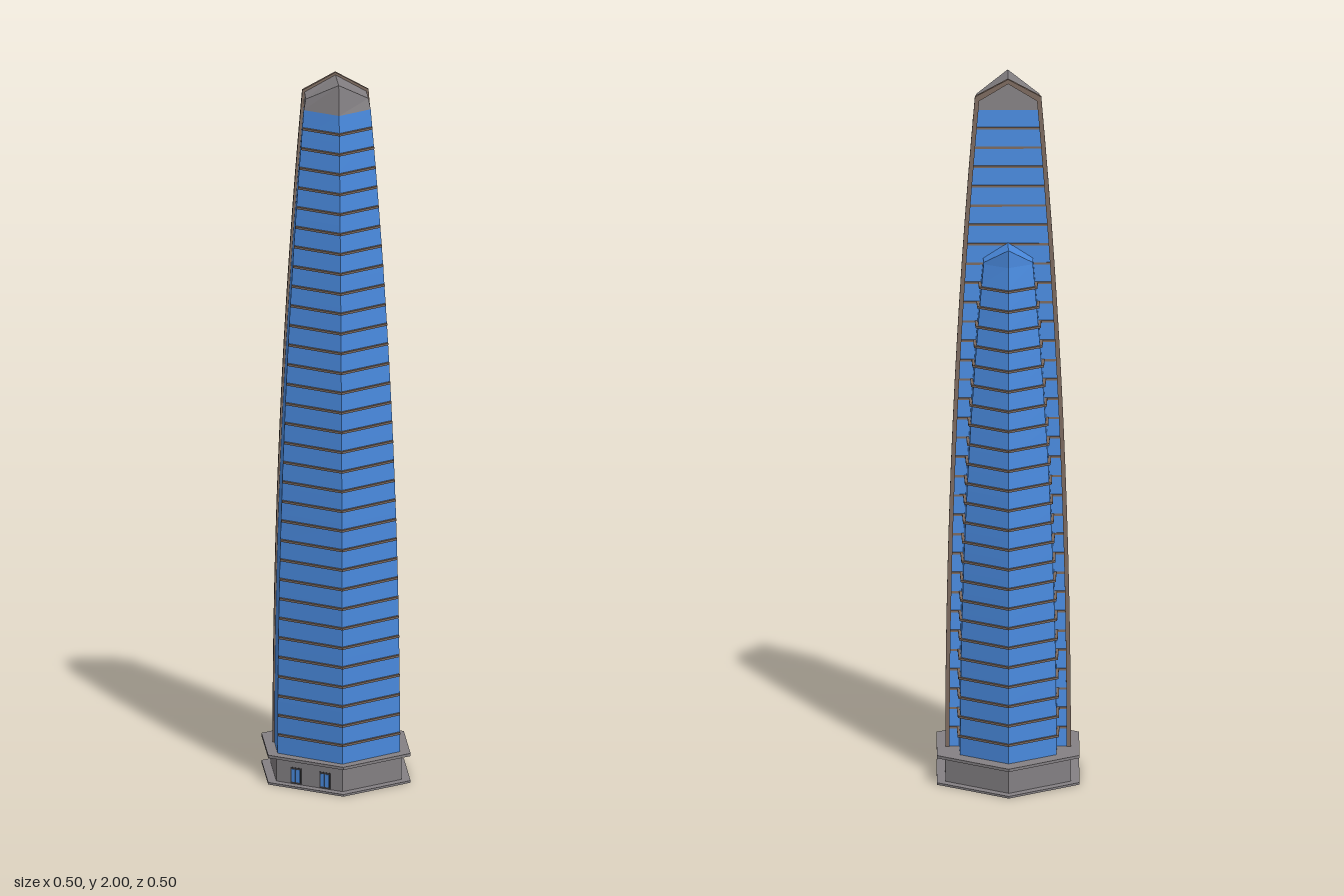
import * as THREE from 'three';
import { mergeGeometries } from 'three/addons/utils/BufferGeometryUtils.js';

const WALL = -0.03; // plane shared by the two tower halves
const DECK = 0.08;

function material(name, hex) {
  const m = new THREE.MeshStandardMaterial({ color: hex });
  m.name = name;
  return m;
}

// Joins rings of [x, y, z] corners; closes each end with a fan to a point
function loft(rings, top, bottom) {
  const out = [];
  const n = rings[0].length;
  const last = rings[rings.length - 1];
  for (let i = 0; i < n; i++) {
    const j = (i + 1) % n;
    for (let k = 0; k < rings.length - 1; k++) {
      const a = rings[k], b = rings[k + 1];
      out.push(...a[i], ...a[j], ...b[j], ...a[i], ...b[j], ...b[i]);
    }
    if (top) out.push(...last[i], ...last[j], ...top);
    if (bottom) out.push(...rings[0][j], ...rings[0][i], ...bottom);
  }
  const g = new THREE.BufferGeometry();
  g.setAttribute('position', new THREE.Float32BufferAttribute(out, 3));
  g.computeVertexNormals();
  return g;
}

const lift = (outline, y) => outline.map(([x, z]) => [x, y, z]);

// Flat-topped slab from a convex outline
function slab(outline, y0, y1) {
  const cz = outline.reduce((s, p) => s + p[1], 0) / outline.length;
  return loft([lift(outline, y0), lift(outline, y1)], [0, y1, cz], [0, y0, cz]);
}

// Outline of a tower half at height y, shrinking faster towards the top
function taper(low, high, y, topY) {
  const t = ((y - DECK) / (topY - DECK)) ** 2;
  return low.map((p, i) => p.map((v, k) => v + (high[i][k] - v) * t));
}

export function createModel() {
  const glass = material('blue glass', 0x4a8be0);
  const stone = material('grey stone', 0x858184);
  const trim = material('brown trim', 0x7b695e);
  const dark = material('dark frame', 0x3c3a3c);

  const model = new THREE.Group();
  model.name = 'skyscraper';
  const body = new THREE.Group();
  body.name = 'building';
  body.rotation.y = THREE.MathUtils.degToRad(43.3);
  model.add(body);
  const add = (name, geometry, mat, parent = body) => {
    const mesh = new THREE.Mesh(geometry, mat);
    mesh.name = name;
    parent.add(mesh);
    return mesh;
  };

  // Podium: two overhanging plates around an inset hexagonal block
  const hex = [[0.2, 0.152], [0.2, -0.152], [0, -0.331], [-0.2, -0.152], [-0.2, 0.152], [0, 0.331]];
  const inset = hex.map(([x, z]) => [x * 0.88, z * 0.88]);
  add('groundPlate', slab(hex, 0, 0.006), stone);
  add('podium', slab(inset, 0.006, 0.076), stone);
  add('deckPlate', slab(hex, 0.076, 0.084), stone);

  // Two doors on the front wall of the podium
  const [cx, cz] = inset[5], [dx, dz] = inset[4];
  const wallAngle = Math.atan2(-(cz - dz), cx - dx);
  for (const t of [0.3, 0.74]) {
    const door = new THREE.Group();
    door.name = 'door';
    door.position.set(dx + (cx - dx) * t, 0.03, dz + (cz - dz) * t);
    door.rotation.y = wallAngle;
    body.add(door);
    add('doorFrame', new THREE.BoxGeometry(0.038, 0.046, 0.004), dark, door);
    for (const s of [-1, 1]) {
      add('doorPane', new THREE.BoxGeometry(0.013, 0.036, 0.007), glass, door).position.x = s * 0.008;
    }
  }

  // Tall half
  const tallLow = [[0.171, WALL], [-0.171, WALL], [-0.172, 0.126], [0, 0.288], [0.172, 0.126]];
  const tallHigh = [[0.088, WALL], [-0.088, WALL], [-0.094, 0.056], [0, 0.142], [0.094, 0.056]];
  const tallTop = 1.91;
  // Short half
  const shortLow = [[0.137, WALL], [0.135, -0.143], [0, -0.262], [-0.135, -0.143], [-0.137, WALL]];
  const shortHigh = [[0.07, WALL], [0.069, -0.086], [0, -0.137], [-0.069, -0.086], [-0.07, WALL]];
  const shortTop = 1.48;

  const shaft = (low, high, topY) => {
    const rings = [];
    for (let i = 0; i <= 24; i++) {
      const y = DECK + (topY - DECK) * i / 24;
      rings.push(lift(taper(low, high, y, topY), y));
    }
    return loft(rings);
  };
  add('tallTower', shaft(tallLow, tallHigh, tallTop), glass);
  add('shortTower', shaft(shortLow, shortHigh, shortTop), glass);

  // Ridged roofs: the outer corner is as high as the inner ridge end
  const tallEaves = [[0.087, 1.945, WALL], [-0.087, 1.945, WALL], [-0.088, 1.94, 0.049],
    [0, 1.993, 0.122], [0.088, 1.94, 0.049]];
  add('tallRoof', loft([lift(tallHigh, tallTop), tallEaves], [0, 1.993, WALL]), stone);
  const shortEaves = shortHigh.map(([x, z], i) => [x, i === 2 ? 1.53 : 1.485, z]);
  add('shortRoof', loft([lift(shortHigh, shortTop), shortEaves], [0, 1.53, WALL]), glass);

  // Thin floor ledges: outer faces and rear wall of the tall half, all faces of the short half
  const ledges = [];
  const step = 0.0555;
  for (let y = 0.135; y < 1.88; y += step) {
    const o = taper(tallLow, tallHigh, y, tallTop).map(([x, z], i) =>
      i < 2 ? [x * 0.96, WALL - 0.004] : [x, z + 0.012]);
    ledges.push(slab(o, y, y + 0.006));
    if (y < shortTop - 0.03) {
      const s = taper(shortLow, shortHigh, y, shortTop).map(([x, z], i) =>
        [x + Math.sign(x) * 0.007, i === 2 ? z - 0.011 : i % 4 ? z - 0.004 : z]);
      ledges.push(slab(s, y, y + 0.006));
    }
  }
  add('floorLedges', mergeGeometries(ledges), trim);

  // Arched rim running up the edges of the dividing wall and over the gable
  const rim = (grow, eave, peak) => {
    const pts = [];
    for (let i = 0; i <= 16; i++) {
      const t = i / 16;
      pts.push(new THREE.Vector2(0.171 - 0.083 * t * t + grow, DECK + (eave - DECK) * t));
    }
    const left = pts.map(p => new THREE.Vector2(-p.x, p.y)).reverse();
    return [...pts, new THREE.Vector2(0, peak), ...left];
  };
  const rimShape = new THREE.Shape(rim(0.005, 1.95, 2));
  rimShape.holes.push(new THREE.Path(rim(-0.007, 1.938, 1.987)));
  const rimGeometry = new THREE.ExtrudeGeometry(rimShape, { depth: 0.014, bevelEnabled: false });
  rimGeometry.translate(0, 0, WALL - 0.009);
  add('dividingRim', rimGeometry, trim);

  return model;
}
